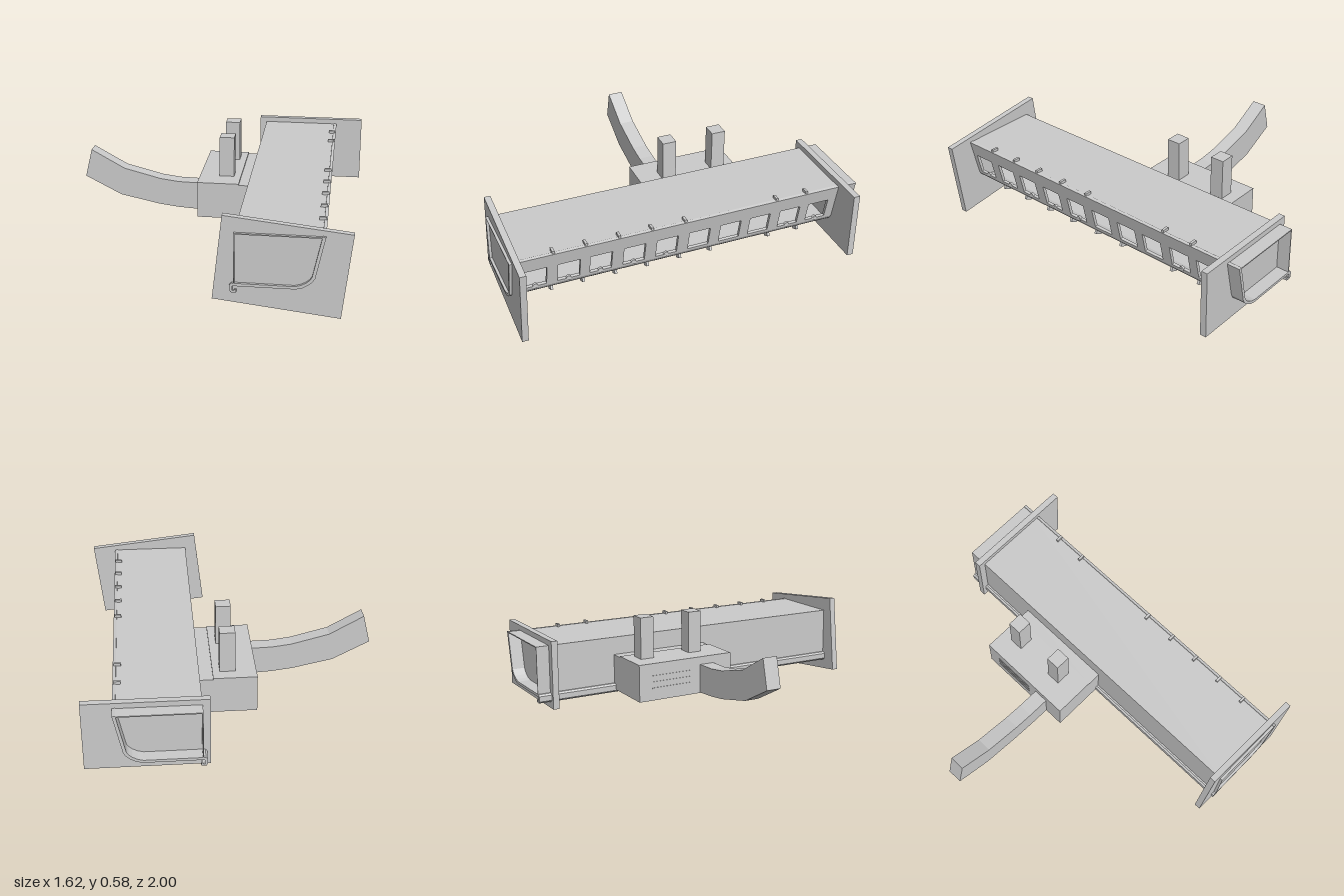
import * as THREE from 'three';

const mat = new THREE.MeshStandardMaterial({ color: 0xcccccc, flatShading: true, side: THREE.DoubleSide });

export function createModel() {
  const model = new THREE.Group();

  function add(name, geometry, parent = model) {
    const mesh = new THREE.Mesh(geometry, mat);
    mesh.name = name;
    parent.add(mesh);
    return mesh;
  }
  // Box given by its minimum and maximum corners
  function box(name, x0, x1, y0, y1, z0, z1) {
    const mesh = add(name, new THREE.BoxGeometry(x1 - x0, y1 - y0, z1 - z0));
    mesh.position.set((x0 + x1) / 2, (y0 + y1) / 2, (z0 + z1) / 2);
    return mesh;
  }
  // Outline in x and y, extruded from z0 to z1
  function prism(name, points, z0, z1) {
    const shape = new THREE.Shape(points.map(([x, y]) => new THREE.Vector2(x, y)));
    const geometry = new THREE.ExtrudeGeometry(shape, { depth: z1 - z0, bevelEnabled: false });
    geometry.translate(0, 0, z0);
    return add(name, geometry);
  }

  // Floor with the curved lower edge and the hooked gutter
  prism('curvedFloor', [
    [0.19, 0.155], [0.505, 0.155], [0.54, 0.164], [0.57, 0.182], [0.59, 0.2], [0.602, 0.22],
    [0.585, 0.224], [0.575, 0.208], [0.557, 0.192], [0.53, 0.178], [0.5, 0.17], [0.185, 0.17],
    [0.175, 0.16], [0.175, 0.13], [0.183, 0.12], [0.21, 0.12], [0.21, 0.136], [0.2, 0.136],
    [0.2, 0.13], [0.19, 0.13],
  ], -1, 1);

  // Sloping outer wall with a row of windows
  const wallHeight = 0.2248;
  const wall = new THREE.Shape();
  wall.moveTo(-1, 0).lineTo(1, 0).lineTo(1, wallHeight).lineTo(-1, wallHeight).closePath();
  const windowCentres = [0.861, 0.679, 0.502, 0.315, 0.128, -0.059, -0.243, -0.42, -0.604, -0.78];
  for (const z of windowCentres) {
    const hole = new THREE.Path();
    const a = -z - 0.061, b = -z + 0.061;
    hole.moveTo(a, 0.015).lineTo(a, 0.138).lineTo(b, 0.138).lineTo(b, 0.015).closePath();
    wall.holes.push(hole);
  }
  const wallGeometry = new THREE.ExtrudeGeometry(wall, { depth: 0.017, bevelEnabled: false });
  wallGeometry.translate(0, 0, -0.017);
  wallGeometry.rotateY(Math.PI / 2);
  const windowWall = add('windowWall', wallGeometry);
  windowWall.position.set(0.602, 0.22, 0);
  windowWall.rotation.z = -Math.atan2(0.046, 0.22);

  // Small half-round catches on the window sills
  for (const z of windowCentres.filter((c) => c > 0.1 || c < -0.5)) {
    const knob = add('windowCatch', new THREE.CylinderGeometry(0.014, 0.014, 0.014, 12));
    knob.rotation.z = Math.PI / 2;
    knob.position.set(0.598, 0.233, z);
  }

  // Thin roof and inner wall
  box('roof', 0.195, 0.642, 0.434, 0.44, -1, 1);
  box('innerWall', 0.195, 0.2, 0.165, 0.437, -1, 1);

  // Brackets along the top and bottom of the window wall
  const bracketZ = [0.765, 0.588, 0.405, 0.222, 0.032, -0.51, -0.692];
  for (const z of bracketZ) box('topBracket', 0.605, 0.643, 0.432, 0.456, z - 0.007, z + 0.007);
  for (const z of [...bracketZ, -0.153]) {
    const bracket = box('bottomBracket', 0.53, 0.575, 0.15, 0.174, z - 0.007, z + 0.007);
    bracket.rotation.z = 0.45;
  }

  // End plates, the front one tilted
  prism('frontPlate', [[0.085, 0.073], [0.735, 0.0], [0.785, 0.455], [0.135, 0.526]], 0.95, 0.985);
  box('backPlate', 0.155, 0.808, 0.08, 0.47, -0.926, -0.89);

  // Side block with its joining collar
  box('sideBlock', -0.125, 0.115, 0.133, 0.345, -0.53, 0.055);
  box('blockCollar', 0.115, 0.205, 0.133, 0.338, -0.53, 0.055);
  for (let i = 0; i < 3; i++) {
    const y = 0.2 + i * 0.035;
    box('vent', -0.128, -0.12, y, y + 0.006, -0.45, -0.2);
  }

  // Two square chimneys
  for (const z of [-0.42, -0.115]) box('chimney', -0.01, 0.075, 0.34, 0.582, z - 0.04, z + 0.04);

  // Arm curving up and away from the block
  prism('curvedArm', [
    [-0.12, 0.135], [-0.12, 0.3], [-0.25, 0.303], [-0.36, 0.317], [-0.575, 0.372], [-0.77, 0.48],
    [-0.81, 0.315], [-0.6, 0.207], [-0.37, 0.158], [-0.25, 0.143],
  ], -0.145, -0.06);

  return model;
}
